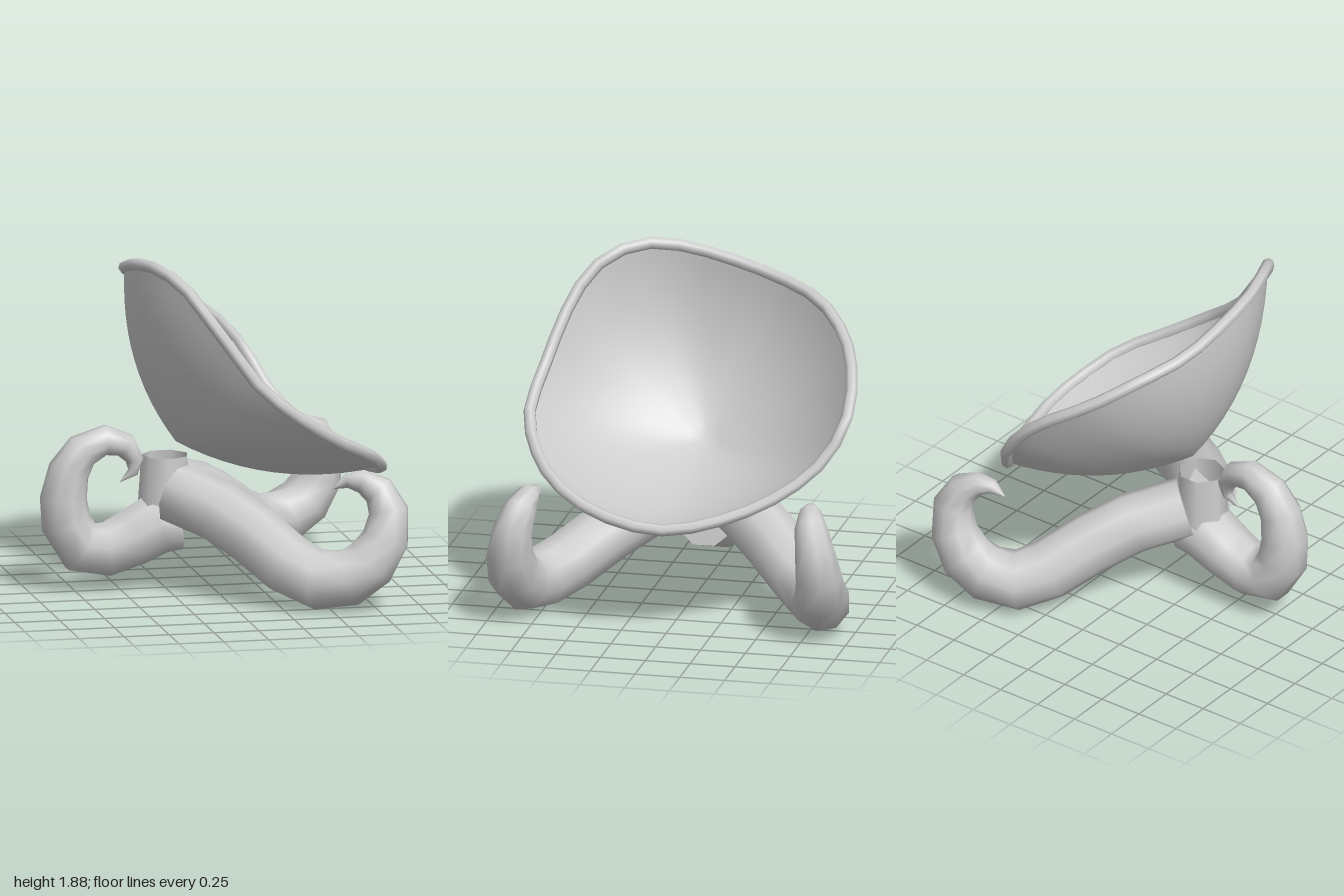
import * as THREE from 'three';

const grey = new THREE.MeshStandardMaterial({ color: 0xcccccc, side: THREE.DoubleSide });
grey.name = 'paleGrey';

const vec = (p) => new THREE.Vector3(p[0], p[1], p[2]);

function surface(positions, indices) {
  const g = new THREE.BufferGeometry();
  g.setAttribute('position', new THREE.Float32BufferAttribute(positions, 3));
  g.setIndex(indices);
  g.computeVertexNormals();
  return g;
}

function part(group, name, geometry) {
  const mesh = new THREE.Mesh(geometry, grey);
  mesh.name = name;
  group.add(mesh);
}

// Tapering tentacle: each path entry is x, y, z, radius; side is across the curl
function tentacle(path, side, sides = 9) {
  const curve = new THREE.CatmullRomCurve3(path.map(vec));
  const pos = [], idx = [];
  const ring = (i) => {
    const t = curve.getTangent(i / (path.length - 1));
    const n = new THREE.Vector3().crossVectors(t, side).normalize();
    const s = new THREE.Vector3().crossVectors(n, t);
    for (let j = 0; j < sides; j++) {
      const a = (j / sides) * Math.PI * 2, r = path[i][3];
      const p = vec(path[i]).addScaledVector(n, r * Math.cos(a)).addScaledVector(s, r * Math.sin(a));
      pos.push(p.x, p.y, p.z);
    }
  };
  path.forEach((_, i) => ring(i));
  for (let i = 0; i < path.length - 1; i++) {
    for (let j = 0; j < sides; j++) {
      const k = (j + 1) % sides;
      const a = i * sides + j, b = i * sides + k;
      idx.push(a, a + sides, b, b, a + sides, b + sides);
    }
  }
  // Flat cap at the thick end
  const base = path.length * sides;
  ring(0);
  pos.push(path[0][0], path[0][1], path[0][2]);
  for (let j = 0; j < sides; j++) idx.push(base + sides, base + j, base + ((j + 1) % sides));
  return surface(pos, idx);
}

// Bowl: curved ribs running from the deepest point out to the rim
function bowl(rimCurve, around = 40, steps = 12) {
  const apex = new THREE.Vector3(-0.19, 0.81, 0);
  const axis = new THREE.Vector3(-0.655, -0.755, 0).normalize();
  const pos = [apex.x, apex.y, apex.z], idx = [];
  for (let i = 0; i < around; i++) {
    const end = rimCurve.getPointAt(i / around);
    const out = end.clone().sub(apex);
    const flat = out.clone().projectOnPlane(axis);
    const control = apex.clone().addScaledVector(flat, 0.4).addScaledVector(out, 0.2);
    const rib = new THREE.QuadraticBezierCurve3(apex, control, end);
    for (let j = 1; j <= steps; j++) pos.push(...rib.getPoint(j / steps).toArray());
    const a = 1 + i * steps, b = 1 + ((i + 1) % around) * steps;
    idx.push(0, b, a);
    for (let j = 0; j < steps - 1; j++) idx.push(a + j, b + j, a + j + 1, b + j, b + j + 1, a + j + 1);
  }
  return surface(pos, idx);
}

export function createModel() {
  const model = new THREE.Group();
  model.name = 'tentacleBowl';

  // Uneven, tilted rim
  const rim = new THREE.CatmullRomCurve3([
    [0.32, 1.08, 0.86], [0.1, 1.26, 0.83], [-0.03, 1.44, 0.78], [-0.17, 1.64, 0.7],
    [-0.27, 1.78, 0.58], [-0.37, 1.85, 0.4], [-0.43, 1.84, 0.2], [-0.44, 1.8, 0],
    [-0.4, 1.71, -0.35], [-0.27, 1.63, -0.62], [-0.08, 1.5, -0.8], [0.12, 1.38, -0.89],
    [0.27, 1.26, -0.92], [0.39, 1.11, -0.9], [0.49, 0.92, -0.78], [0.65, 0.75, -0.53],
    [0.82, 0.65, -0.2], [0.88, 0.63, 0], [0.9, 0.66, 0.2], [0.85, 0.73, 0.44],
    [0.75, 0.82, 0.62], [0.55, 0.93, 0.77],
  ].map(vec), true);
  part(model, 'bowl', bowl(rim));
  part(model, 'rim', new THREE.TubeGeometry(rim, 36, 0.034, 7, true));

  // Short collar where the legs meet
  const collar = new THREE.CylinderGeometry(0.13, 0.15, 0.3, 7, 1, true);
  collar.translate(-0.25, 0.59, 0);
  part(model, 'collar', collar);

  // Short leg with a tight curl
  part(model, 'rightLeg', tentacle([
    [-0.19, 0.38, 0, 0.17], [-0.3, 0.36, 0, 0.17], [-0.43, 0.29, 0, 0.16], [-0.58, 0.23, 0, 0.15],
    [-0.72, 0.25, 0, 0.15], [-0.8, 0.38, 0, 0.14], [-0.815, 0.52, 0, 0.13], [-0.785, 0.67, 0, 0.115],
    [-0.71, 0.78, 0, 0.1], [-0.58, 0.835, 0, 0.085], [-0.47, 0.8, 0, 0.07],
    [-0.42, 0.72, 0, 0.05], [-0.43, 0.65, 0, 0.03], [-0.5, 0.6, 0, 0.003],
  ], new THREE.Vector3(0, 0, 1)));

  // Pair of long legs, mirrored front to back
  for (const m of [1, -1]) {
    part(model, m > 0 ? 'frontLeg' : 'backLeg', tentacle([
      [-0.21, 0.54, 0.1, 0.17], [0, 0.46, 0.3, 0.17], [0.15, 0.36, 0.47, 0.17], [0.3, 0.23, 0.65, 0.17],
      [0.43, 0.17, 0.77, 0.168], [0.59, 0.19, 0.83, 0.16], [0.71, 0.27, 0.855, 0.148],
      [0.79, 0.4, 0.86, 0.13], [0.81, 0.55, 0.84, 0.11], [0.76, 0.66, 0.81, 0.09],
      [0.67, 0.71, 0.785, 0.065], [0.59, 0.71, 0.77, 0.04], [0.52, 0.67, 0.76, 0.003],
    ].map(([x, y, z, r]) => [x, y, z * m, r]), new THREE.Vector3(-0.65, 0, 0.76 * m)));
  }
  return model;
}
